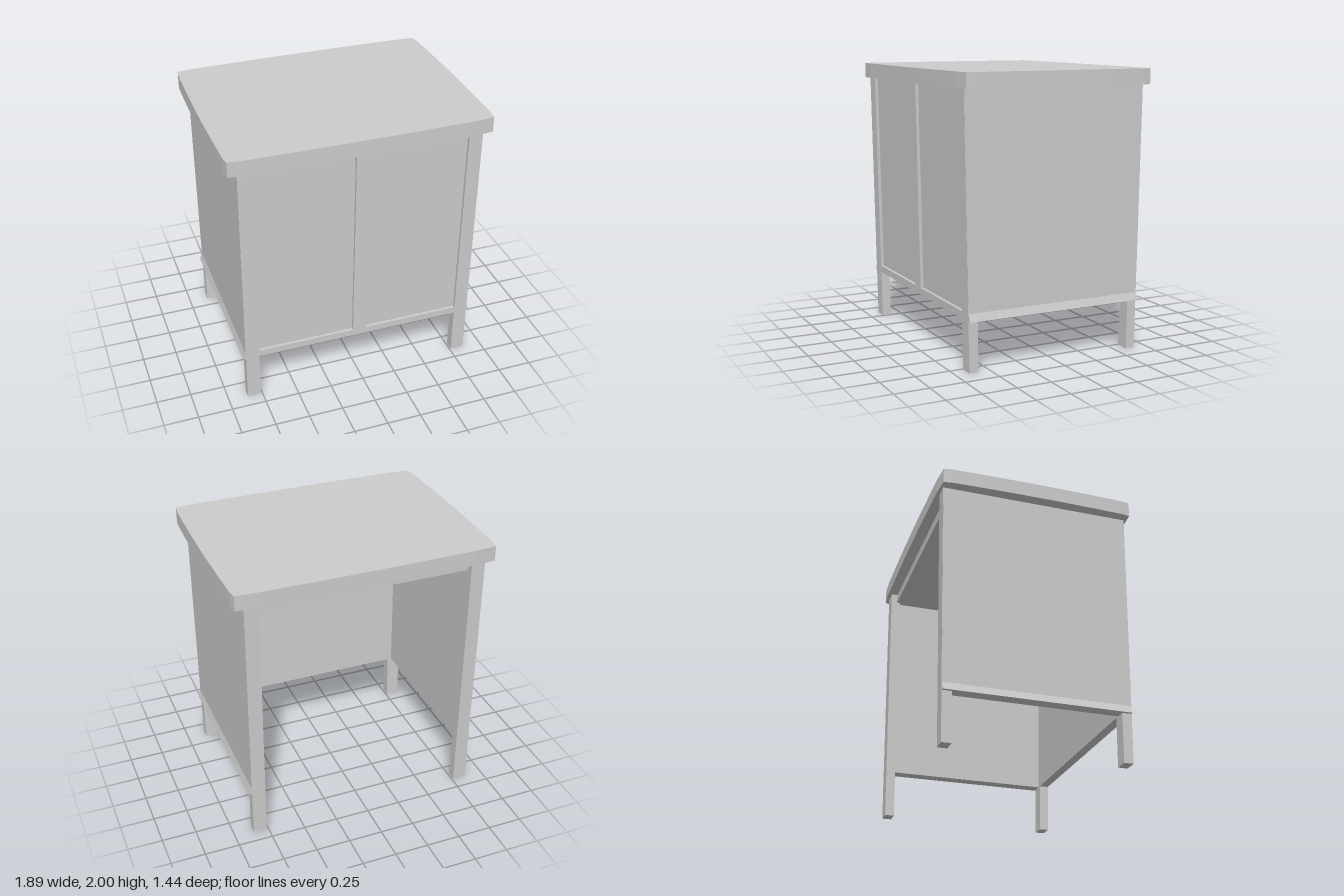
import * as THREE from 'three';

export function createModel() {
  const model = new THREE.Group();
  const material = new THREE.MeshStandardMaterial({ color: 0xcccccc, flatShading: true });

  function add(name, geometry) {
    const mesh = new THREE.Mesh(geometry, material);
    mesh.name = name;
    model.add(mesh);
    return mesh;
  }

  // The body widens slightly in depth towards the top.
  function taper(geometry) {
    const p = geometry.attributes.position;
    for (let i = 0; i < p.count; i++) p.setZ(i, p.getZ(i) * (1 + 0.0242 * p.getY(i)));
    geometry.computeVertexNormals();
    return geometry;
  }

  // Box given by its limits on each axis, following the taper.
  function block(name, [x0, x1], [y0, y1], [z0, z1]) {
    const g = new THREE.BoxGeometry(x1 - x0, y1 - y0, z1 - z0);
    g.translate((x0 + x1) / 2, (y0 + y1) / 2, (z0 + z1) / 2);
    return add(name, taper(g));
  }

  const polygon = (pts) => new THREE.Shape(pts.map(([x, y]) => new THREE.Vector2(x, y)));

  const under = 1.89; // underside of the top
  const base = 0.355; // lower edge of the panels

  // Table top with gently bowed edges and clipped corners
  const quarter = [[0.945, 0.12], [0.941, 0.4], [0.935, 0.635], [0.925, 0.7], [0.78, 0.711], [0.24, 0.718]];
  const flipped = [...quarter].reverse();
  const outline = [
    ...quarter,
    ...flipped.map(([x, z]) => [-x, z]),
    ...quarter.map(([x, z]) => [-x, -z]),
    ...flipped.map(([x, z]) => [x, -z]),
  ];
  const top = new THREE.ExtrudeGeometry(polygon(outline), { depth: 2 - under, bevelEnabled: false });
  top.rotateX(-Math.PI / 2).translate(0, under, 0);
  add('tableTop', top);

  // Four legs, and side panels with a flared lower edge
  for (const s of [1, -1]) {
    const side = s > 0 ? 'left' : 'right';
    const xs = s > 0 ? [0.76, 0.859] : [-0.859, -0.76];
    block(side + 'FrontLeg', xs, [0, under], [0.587, 0.655]);
    block(side + 'BackLeg', xs, [0, under], [-0.655, -0.587]);

    const profile = [[0.79, base], [0.88, base], [0.861, 0.41], [0.861, under], [0.79, under]];
    const panel = new THREE.ExtrudeGeometry(polygon(profile.map(([x, y]) => [s * x, y])), {
      depth: 1.306, bevelEnabled: false,
    });
    panel.translate(0, 0, -0.653);
    add(side + 'SidePanel', taper(panel));

    // Recessed front panel on this side
    block(side + 'FrontPanel', s > 0 ? [0, 0.8] : [-0.8, 0], [base + 0.002, under], [0.587, 0.633]);
  }

  // Front frame: centre stile and bottom rail
  block('centreStile', [-0.05, 0.05], [base, under], [0.59, 0.655]);
  block('bottomRail', [-0.77, 0.77], [base, 0.407], [0.587, 0.654]);

  // Inner ceiling slab under the top
  block('ceilingSlab', [-0.8, 0.8], [1.82, under], [-0.61, 0.6]);

  return model;
}
